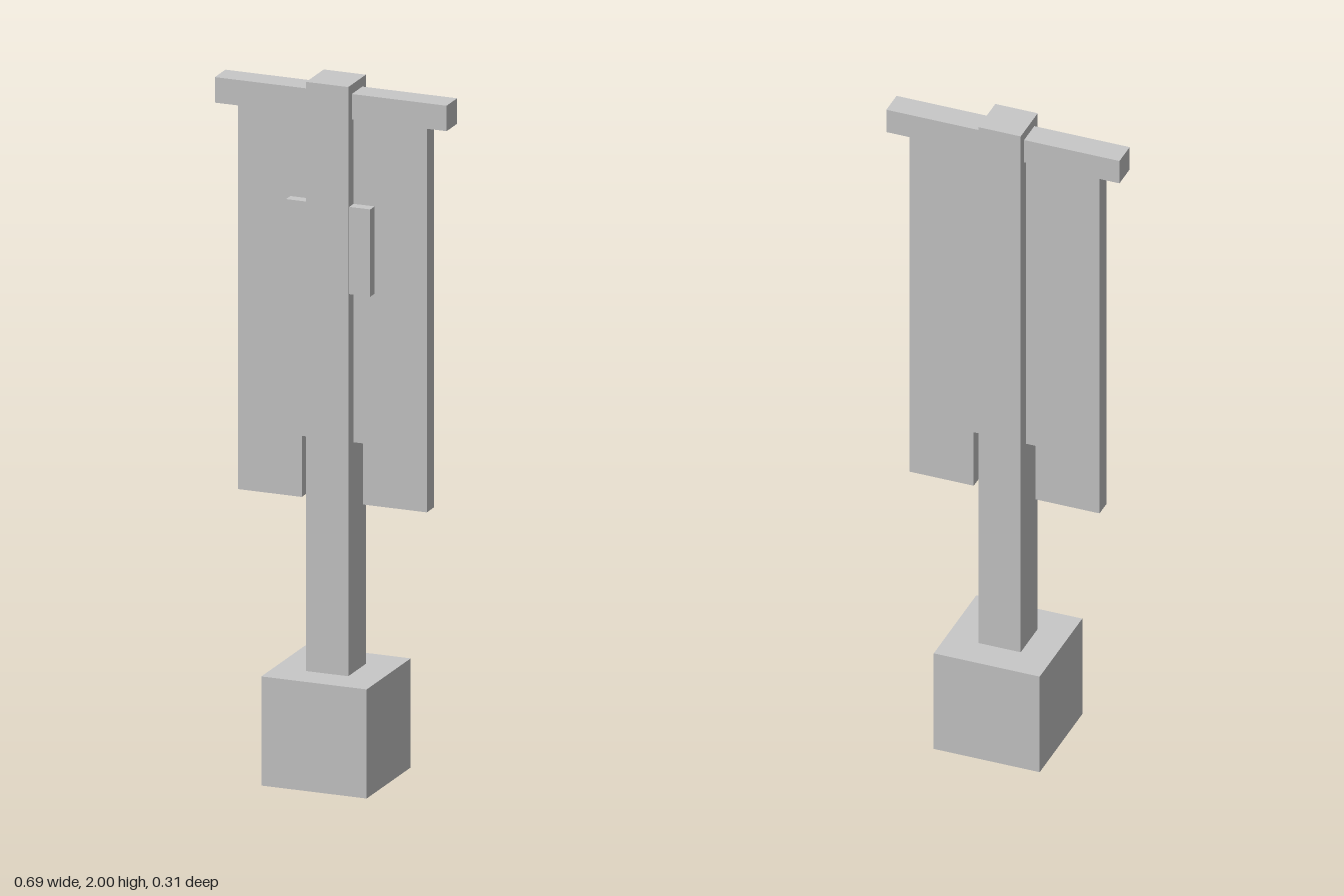
import * as THREE from 'three';

export function createModel() {
  const model = new THREE.Group();
  model.name = 'bannerStand';
  const grey = new THREE.MeshStandardMaterial({ color: 0xc8c8c8 });
  grey.name = 'lightGrey';

  const add = (name, geometry) => {
    const mesh = new THREE.Mesh(geometry, grey);
    mesh.name = name;
    model.add(mesh);
    return mesh;
  };
  // Box spanning y0..y1, centred on x
  const box = (name, width, y0, y1, depth, z = 0) =>
    add(name, new THREE.BoxGeometry(width, y1 - y0, depth)).position.set(0, (y0 + y1) / 2, z);

  box('base', 0.3125, 0, 0.3125, 0.3125);
  box('pole', 0.125, 0.3125, 2, 0.125);
  box('crossbar', 0.6875, 1.9, 1.973, 0.075);

  // Hanging cloth with a square notch in its lower edge
  const outline = [
    [-0.28, 0.797], [-0.091, 0.797], [-0.091, 0.972], [0.091, 0.972],
    [0.091, 0.797], [0.28, 0.797], [0.28, 1.9], [-0.28, 1.9],
  ].map(([x, y]) => new THREE.Vector2(x, y));
  const cloth = new THREE.ExtrudeGeometry(new THREE.Shape(outline), { depth: 0.05, bevelEnabled: false });
  cloth.translate(0, 0, -0.025);
  add('cloth', cloth);

  // Raised square on the front of the cloth
  box('emblemPlate', 0.25, 1.405, 1.655, 0.031, 0.0405);

  return model;
}
